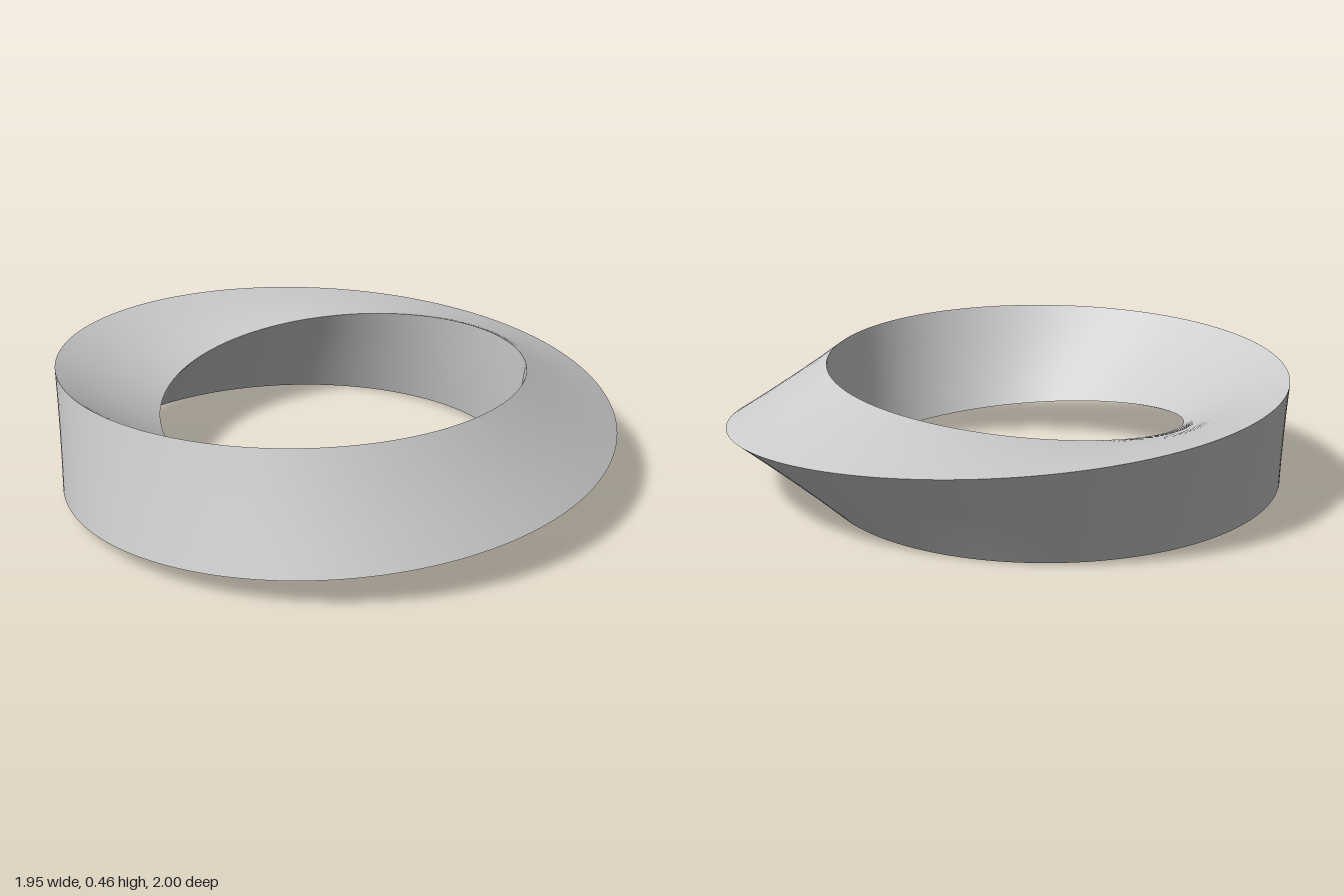
import * as THREE from 'three';

const RADIUS = 0.8;                  // ring centre line
const SIDE = 0.4;                    // triangle side
const CORNER = SIDE / Math.sqrt(3);  // triangle centre to corner
const STEPS = 540;                   // along three laps of the ring
const ACROSS = 4;                    // across the face

// Corner of the triangular section, which turns a third of a circle per lap
function corner(t, offset) {
  const a = t / 3 + offset;
  const r = RADIUS + CORNER * Math.cos(a);
  return new THREE.Vector3(r * Math.cos(t), CORNER * Math.sin(a), -r * Math.sin(t));
}

// The prism has one continuous face that closes on itself after three laps
function twistedPrism() {
  const positions = [], index = [];
  const row = ACROSS + 1;
  for (let i = 0; i < STEPS; i++) {
    const t = (i / STEPS) * Math.PI * 6;
    const start = corner(t, 0), end = corner(t, Math.PI * 2 / 3);
    for (let j = 0; j <= ACROSS; j++) {
      positions.push(...start.clone().lerp(end, j / ACROSS).toArray());
    }
    const next = (i + 1) % STEPS;
    for (let j = 0; j < ACROSS; j++) {
      const a = i * row + j, b = next * row + j;
      index.push(a, b, a + 1, b, b + 1, a + 1);
    }
  }
  const geometry = new THREE.BufferGeometry();
  geometry.setAttribute('position', new THREE.Float32BufferAttribute(positions, 3));
  geometry.setIndex(index);
  geometry.computeVertexNormals();
  // Centre the ring and stand it on the ground
  geometry.computeBoundingBox();
  const box = geometry.boundingBox;
  geometry.translate(-(box.min.x + box.max.x) / 2, -box.min.y, -(box.min.z + box.max.z) / 2);
  return geometry;
}

export function createModel() {
  const grey = new THREE.MeshStandardMaterial({ color: 0xcccccc });
  grey.name = 'light grey';

  const ring = new THREE.Mesh(twistedPrism(), grey);
  ring.name = 'twistedTriangularRing';

  const model = new THREE.Group();
  model.name = 'twistedRing';
  model.add(ring);
  return model;
}
